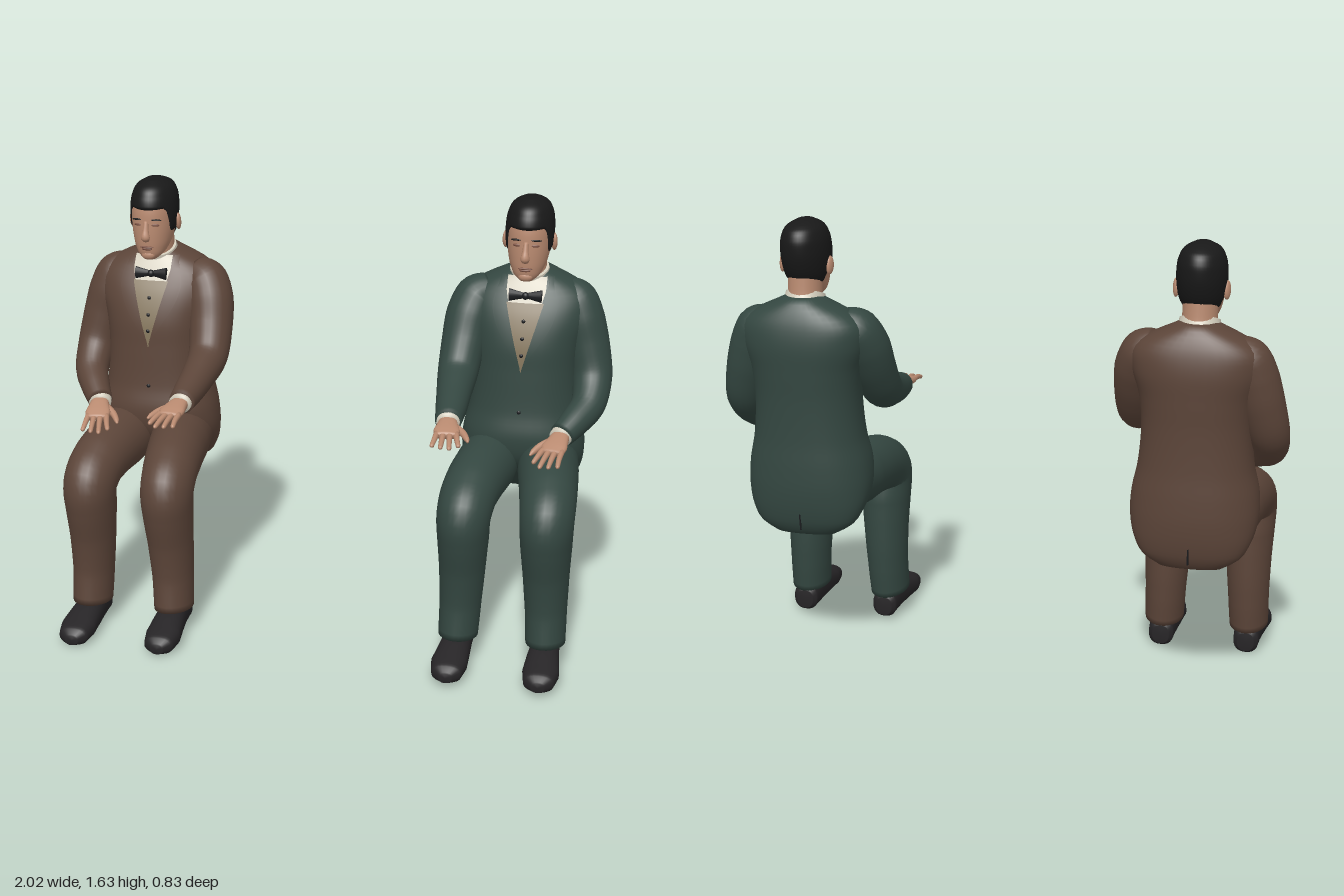
import * as THREE from 'three';

const mat = (name, color) => Object.assign(new THREE.MeshStandardMaterial({ color }), { name });
const V = (x, y, z) => new THREE.Vector3(x, y, z);
const ss = THREE.MathUtils.smoothstep;

// Smooth surface through rows of points; wrapped rows get closed ends
function grid(rows, wrap) {
  const n = rows[0].length, pos = [], idx = [];
  rows.forEach(r => r.forEach(p => pos.push(p.x, p.y, p.z)));
  const cols = wrap ? n : n - 1;
  for (let i = 0; i < rows.length - 1; i++) for (let j = 0; j < cols; j++) {
    const a = i * n + j, b = i * n + (j + 1) % n;
    idx.push(a, b, b + n, a, b + n, a + n);
  }
  if (wrap) [0, rows.length - 1].forEach(i => {
    const c = rows[i].reduce((s, p) => s.add(p), V(0, 0, 0)).divideScalar(n);
    const k = pos.length / 3;
    pos.push(c.x, c.y, c.z);
    for (let j = 0; j < n; j++) {
      const a = i * n + j, b = i * n + (j + 1) % n;
      idx.push(k, i ? a : b, i ? b : a);
    }
  });
  const g = new THREE.BufferGeometry();
  g.setAttribute('position', new THREE.Float32BufferAttribute(pos, 3));
  g.setIndex(idx);
  g.computeVertexNormals();
  return g;
}

// Rounded cross-section of half sizes a, b across direction t
function ring(c, t, a, b, n = 24, e = 2) {
  const s = V(1, 0, 0).addScaledVector(t, -t.x).normalize(), u = t.clone().cross(s);
  const f = v => Math.sign(v) * Math.abs(v) ** (2 / e);
  return Array.from({ length: n }, (_, j) => {
    const q = j / n * Math.PI * 2;
    return c.clone().addScaledVector(s, a * f(Math.cos(q))).addScaledVector(u, b * f(Math.sin(q)));
  });
}

// Limb through points [x, y, z, halfWidth, halfDepth]; a round limb needs only one radius
function loft(pts, { dir, n = 24, e = 2, steps = 36 } = {}) {
  const curve = new THREE.CatmullRomCurve3(pts.map(p => V(p[0], p[1], p[2])));
  const rows = [];
  for (let i = 0; i <= steps; i++) {
    const t = i / steps, k = Math.min(t * (pts.length - 1), pts.length - 1.0001);
    const m = Math.floor(k), p = pts[m], q = pts[m + 1], f = k - m;
    const mix = d => THREE.MathUtils.lerp(p[d] ?? p[3], q[d] ?? q[3], f);
    rows.push(ring(curve.getPoint(t), dir || curve.getTangent(t), mix(3), mix(4), n, e));
  }
  return grid(rows, true);
}

// Upright body from rows [y, halfWidth, frontZ, backZ]
function profile(table, e) {
  const spline = new THREE.CubicInterpolant(table.map(r => r[0]), table.flatMap(r => r.slice(1)), 3);
  const at = y => {
    const [w, f, b] = spline.evaluate(y);
    return { w: Math.max(w, 0.004), c: (f + b) / 2, d: Math.max((f - b) / 2, 0.004) };
  };
  const y0 = table[0][0], y1 = table[table.length - 1][0];
  return {
    at,
    frontZ(x, y) {
      const s = at(y);
      return s.c + s.d * Math.max(0, 1 - Math.abs(x / s.w) ** e) ** (1 / e);
    },
    geometry(steps = 50, n = 40) {
      const rows = [];
      for (let i = 0; i <= steps; i++) {
        const y = y0 + (y1 - y0) * i / steps, s = at(y);
        rows.push(ring(V(0, y, s.c), V(0, 1, 0), s.w, s.d, n, e));
      }
      return grid(rows, true);
    },
    // Thin panel lying on the front between two edges
    patch(yb, yt, left, right, lift) {
      const rows = [];
      for (let i = 0; i <= 16; i++) {
        const y = yb + (yt - yb) * i / 16, row = [];
        for (let j = 0; j <= 8; j++) {
          const x = left(y) + (right(y) - left(y)) * j / 8;
          row.push(V(x, y, this.frontZ(x, y) + lift));
        }
        rows.push(row);
      }
      return grid(rows, false);
    },
  };
}

const torso = profile([
  [0.5, 0.11, -0.29, -0.365], [0.53, 0.165, -0.24, -0.385], [0.58, 0.2, -0.18, -0.4], [0.66, 0.222, -0.1, -0.41],
  [0.75, 0.22, -0.075, -0.41], [0.85, 0.2, -0.09, -0.405], [1, 0.19, -0.1, -0.405], [1.1, 0.2, -0.107, -0.41],
  [1.2, 0.225, -0.135, -0.412], [1.27, 0.215, -0.168, -0.4], [1.31, 0.165, -0.19, -0.385],
  [1.345, 0.09, -0.212, -0.365], [1.36, 0.06, -0.225, -0.35]], 2.3);

const skull = profile([
  [1.335, 0.022, -0.138, -0.18], [1.35, 0.042, -0.128, -0.22], [1.38, 0.06, -0.121, -0.27], [1.42, 0.072, -0.118, -0.31],
  [1.47, 0.079, -0.118, -0.335], [1.52, 0.08, -0.121, -0.345], [1.56, 0.073, -0.132, -0.342],
  [1.59, 0.055, -0.157, -0.32], [1.607, 0.025, -0.2, -0.27]], 2.15);

// Hair cap whose lower edge runs from the brow, past the ears, to the nape
function hairGeometry() {
  const rows = [], n = 48;
  for (let i = 0; i <= 24; i++) {
    const v = i / 24, grow = 1 + 0.075 * ss(v, -0.04, 0.1);
    rows.push(Array.from({ length: n }, (_, j) => {
      const q = j / n * Math.PI * 2, f = -Math.sin(q);
      const low = 1.4 + 0.035 * ss(f, -0.5, -0.1) + 0.09 * ss(f, 0.3, 0.7);
      const y = low + (1.606 - low) * v, s = skull.at(y);
      return V(s.w * grow * Math.cos(q), y + 0.013 * v, s.c + s.d * grow * f);
    }));
  }
  return grid(rows, true);
}

const common = {
  skin: mat('skin', 0xb98a70), lip: mat('lips and lids', 0x7c5243), hair: mat('hair', 0x191919),
  shoe: mat('shoe leather', 0x262426), shirt: mat('shirt', 0xcfc9b8), vest: mat('waistcoat', 0x85765c),
  tie: mat('bow tie', 0x1b1c1f),
};

function makeMan(name, suit, mirrored, x, y) {
  const man = new THREE.Group();
  const add = (label, geo, material, p = [0, 0, 0], r = [0, 0, 0], s = [1, 1, 1], parent = man) => {
    const m = new THREE.Mesh(geo, material);
    m.name = label;
    m.position.set(...p); m.rotation.set(...r); m.scale.set(...s);
    parent.add(m);
  };
  const ball = (label, material, p, s, r) => add(label, new THREE.SphereGeometry(1, 16, 12), material, p, r, s);
  const M = common;

  // Jacket, shirt front and waistcoat
  add('jacket', torso.geometry(), suit);
  const vee = t => Math.max(0.002, 0.078 * Math.min(1, (t - 1.01) / 0.28));
  add('waistcoat', torso.patch(1.01, 1.25, t => -vee(t), vee, 0.004), M.vest);
  add('shirtFront', torso.patch(1.25, 1.335, t => -vee(t) * 0.9, t => vee(t) * 0.9, 0.005), M.shirt);
  const lapel = t => vee(t) + 0.055 * ss(t, 1, 1.2) * (1 - 0.7 * ss(t, 1.22, 1.33));
  add('lapelLeft', torso.patch(1, 1.335, vee, lapel, 0.009), suit);
  add('lapelRight', torso.patch(1, 1.335, t => -lapel(t), t => -vee(t), 0.009), suit);
  [1.07, 1.13, 1.19, 0.86].forEach(h => ball('button', M.tie, [0, h, torso.frontZ(0, h) + 0.004], [0.007, 0.007, 0.004]));
  add('jacketVent', new THREE.BoxGeometry(0.005, 0.12, 0.004), M.tie, [0, 0.585, -0.399], [-0.12, 0, 0]);

  // Collar and bow tie
  add('collar', new THREE.CylinderGeometry(0.069, 0.08, 0.055, 32), M.shirt, [0, 1.335, -0.262], [0.4, 0, 0]);
  [-1, 1].forEach(k => add('bowWing', new THREE.CylinderGeometry(0.01, 0.024, 0.055, 12), M.tie,
    [k * 0.031, 1.275, -0.163], [0, 0, k * Math.PI / 2], [1, 1, 0.6]));
  ball('bowKnot', M.tie, [0, 1.275, -0.16], [0.013, 0.014, 0.012]);

  // Head and face
  add('neck', loft([[0, 1.28, -0.275, 0.066, 0.07], [0, 1.36, -0.26, 0.06, 0.068], [0, 1.44, -0.25, 0.06, 0.07]], { steps: 10 }), M.skin);
  add('head', skull.geometry(), M.skin);
  add('hair', hairGeometry(), M.hair);
  add('nose', loft([[0, 1.482, -0.121, 0.008, 0.008], [0, 1.45, -0.113, 0.011, 0.012], [0, 1.425, -0.107, 0.017, 0.016],
    [0, 1.412, -0.113, 0.012, 0.008]], { n: 12, steps: 12 }), M.skin);
  ball('upperLip', M.lip, [0, 1.386, -0.12], [0.026, 0.004, 0.005]);
  ball('lowerLip', M.lip, [0, 1.379, -0.121], [0.02, 0.005, 0.005]);
  ball('chin', M.skin, [0, 1.353, -0.137], [0.026, 0.018, 0.015]);
  [-1, 1].forEach(k => {
    ball('eye', M.lip, [k * 0.033, 1.469, skull.frontZ(0.033, 1.469)], [0.015, 0.005, 0.004], [0, k * 0.25, 0]);
    ball('eyebrow', M.hair, [k * 0.035, 1.488, skull.frontZ(0.035, 1.488)], [0.021, 0.0035, 0.005], [0, k * 0.25, -k * 0.05]);
    ball('ear', M.skin, [k * 0.086, 1.46, -0.238], [0.011, 0.033, 0.019], [0.15, k * 0.3, 0]);
  });

  // Legs and shoes
  [-1, 1].forEach(k => {
    add('trouserLeg', loft([
      [0.1, 0.655, -0.28, 0.1, 0.1], [0.113, 0.645, -0.1, 0.11, 0.115], [0.13, 0.635, 0.03, 0.105, 0.11],
      [0.142, 0.61, 0.13, 0.1, 0.105], [0.147, 0.56, 0.185, 0.096, 0.115], [0.148, 0.47, 0.178, 0.091, 0.115],
      [0.15, 0.36, 0.165, 0.083, 0.104], [0.154, 0.22, 0.16, 0.075, 0.096], [0.158, 0.095, 0.172, 0.071, 0.098],
    ].map(([a, ...r]) => [k * a, ...r]), { steps: 48, n: 28 }), suit);
    add('shoe', loft([
      [0.158, 0.05, 0.075, 0.03, 0.035], [0.158, 0.055, 0.09, 0.046, 0.05], [0.158, 0.062, 0.16, 0.05, 0.058],
      [0.16, 0.056, 0.25, 0.058, 0.052], [0.163, 0.046, 0.33, 0.065, 0.042], [0.163, 0.038, 0.39, 0.054, 0.034],
      [0.163, 0.032, 0.418, 0.022, 0.018],
    ].map(([a, ...r]) => [k * a, ...r]), { dir: V(0, 0, 1), e: 2.4 }), M.shoe);
  });

  // Sleeves: one arm reaches forward, the other rests over the thigh
  const arms = [
    { k: -1, yaw: 0.11, pitch: 0.09, path: [[-0.13, 1.265, -0.27, 0.06], [-0.18, 1.235, -0.255, 0.083], [-0.207, 1.17, -0.225, 0.086],
      [-0.22, 1.08, -0.18, 0.08], [-0.227, 0.99, -0.11, 0.073], [-0.222, 0.95, 0, 0.062], [-0.215, 0.925, 0.1, 0.055], [-0.21, 0.91, 0.185, 0.046]] },
    { k: 1, yaw: -0.2, pitch: 0.24, path: [[0.12, 1.265, -0.29, 0.06], [0.165, 1.235, -0.28, 0.08], [0.192, 1.17, -0.27, 0.084],
      [0.218, 1.08, -0.26, 0.08], [0.242, 0.97, -0.23, 0.073], [0.24, 0.89, -0.15, 0.062], [0.2, 0.845, -0.07, 0.053], [0.165, 0.815, -0.015, 0.045]] },
  ];
  arms.forEach(({ k, yaw, pitch, path }) => {
    add('sleeve', loft(path, { steps: 40 }), suit);
    const hand = new THREE.Group();
    hand.position.set(...path[path.length - 1].slice(0, 3));
    hand.rotation.set(pitch, yaw, 0, 'YXZ');
    man.add(hand);
    const part = (label, pts, material, o) => add(label, loft(pts, o), material, [0, 0, 0], [0, 0, 0], [1, 1, 1], hand);
    part('cuff', [[0, 0, -0.02, 0.04, 0.036], [0, 0, 0.016, 0.041, 0.036]], M.shirt, { steps: 2 });
    part('palm', [[0, 0, 0, 0.03, 0.024], [0, 0.002, 0.035, 0.036, 0.021], [0, 0.002, 0.08, 0.046, 0.017],
      [0, 0, 0.118, 0.043, 0.012]], M.skin, { e: 2.4, steps: 12, n: 20 });
    [0.085, 0.108, 0.102, 0.09].forEach((len, i) => {
      const fx = k * (i - 1.5) * 0.022, tip = fx * 1.35;
      part('finger', [[fx, 0.001, 0.1, 0.011], [(fx + tip) / 2, 0, 0.1 + len * 0.55, 0.0095],
        [tip, -0.006, 0.1 + len * 0.93, 0.008], [tip, -0.007, 0.1 + len, 0.003]], M.skin, { n: 10, steps: 9 });
    });
    part('thumb', [[-k * 0.025, -0.004, 0.035, 0.014], [-k * 0.055, -0.008, 0.075, 0.013], [-k * 0.07, -0.012, 0.11, 0.01],
      [-k * 0.075, -0.014, 0.13, 0.004]], M.skin, { n: 10, steps: 9 });
  });

  // Bake the placement, turning faces over for the mirrored pose
  man.scale.x = mirrored ? -1 : 1;
  man.position.set(x, y, 0);
  man.updateMatrixWorld(true);
  const out = new THREE.Group();
  out.name = name;
  man.traverse(o => {
    if (!o.isMesh) return;
    const g = o.geometry.applyMatrix4(o.matrixWorld);
    if (mirrored) g.setIndex(Array.from(g.index.array).reverse());
    const m = new THREE.Mesh(g, o.material);
    m.name = o.name;
    out.add(m);
  });
  return out;
}

export function createModel() {
  const model = new THREE.Group();
  model.name = 'seatedMen';
  model.add(makeMan('manInGreenSuit', mat('green suit', 0x344741), false, 0.687, 0.01));
  model.add(makeMan('manInBrownSuit', mat('brown suit', 0x5c4539), true, -0.7, 0));
  return model;
}
